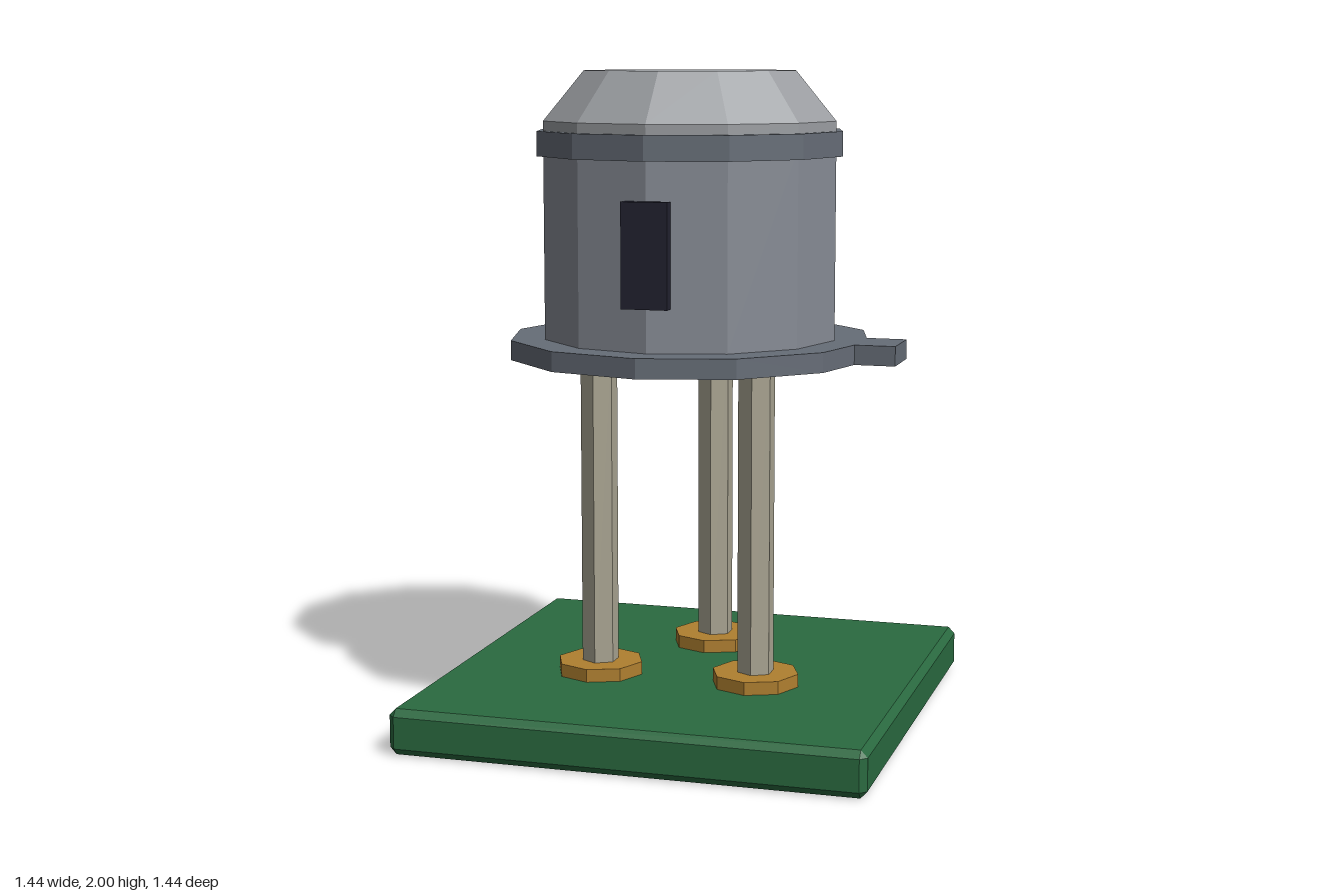
import * as THREE from 'three';
import { ConvexGeometry } from 'three/addons/geometries/ConvexGeometry.js';

const mat = (color) => new THREE.MeshStandardMaterial({ color, flatShading: true });
const MATS = {
  board: mat(0x2a6a40), pad: mat(0xb08030), pin: mat(0xaaa592),
  flange: mat(0x666d77), body: mat(0x878c95), dome: mat(0x9b9ea2), window: mat(0x222230),
};

// Box with every edge and corner chamfered
function chamferBox(w, h, d, c) {
  const points = [];
  for (const sx of [-1, 1]) for (const sy of [-1, 1]) for (const sz of [-1, 1]) {
    const x = w / 2, y = h / 2, z = d / 2;
    points.push(
      new THREE.Vector3(sx * x, sy * (y - c), sz * (z - c)),
      new THREE.Vector3(sx * (x - c), sy * y, sz * (z - c)),
      new THREE.Vector3(sx * (x - c), sy * (y - c), sz * z));
  }
  return new ConvexGeometry(points);
}

export function createModel() {
  const model = new THREE.Group();
  model.name = 'metalCanComponent';

  const add = (name, geometry, material, x = 0, y = 0, z = 0) => {
    const mesh = new THREE.Mesh(geometry, material);
    mesh.name = name;
    mesh.position.set(x, y, z);
    model.add(mesh);
    return mesh;
  };
  // Upright faceted cylinder between two heights
  const drum = (name, rTop, rBottom, y0, y1, sides, material, x = 0, z = 0) =>
    add(name, new THREE.CylinderGeometry(rTop, rBottom, y1 - y0, sides), material, x, (y0 + y1) / 2, z);

  // Circuit board
  add('board', chamferBox(1.44, 0.13, 1.44, 0.02), MATS.board, 0, 0.07, 0).scale.y = 0.14 / 0.13;

  // Three pins with solder pads
  const pins = [['left', 0.25, 0.145], ['right', -0.25, 0.145], ['back', 0, -0.285]];
  for (const [side, x, z] of pins) {
    drum(side + 'Pad', 0.135, 0.135, 0.135, 0.18, 8, MATS.pad, x, z);
    drum(side + 'Pin', 0.057, 0.057, 0.14, 1.14, 6, MATS.pin, x, z);
  }

  // Twelve-sided flange with a locating tab on the left
  const outline = [[0.536, -0.088], [0.66, -0.088], [0.66, 0.088], [0.536, 0.088]];
  for (let i = 1; i < 12; i++) {
    const a = (i / 12) * Math.PI * 2;
    outline.push([0.56 * Math.cos(a), 0.56 * Math.sin(a)]);
  }
  const shape = new THREE.Shape(outline.map(([x, y]) => new THREE.Vector2(x, y)));
  const flange = new THREE.ExtrudeGeometry(shape, { depth: 0.06, bevelEnabled: false });
  flange.rotateX(-Math.PI / 2);
  add('flange', flange, MATS.flange, 0, 1.13, 0);

  // Can, rim band and tapered cap
  drum('canBody', 0.455, 0.455, 1.19, 1.78, 12, MATS.body);
  drum('rimBand', 0.475, 0.475, 1.745, 1.82, 12, MATS.flange);
  drum('capCollar', 0.455, 0.455, 1.82, 1.85, 12, MATS.dome);
  drum('cap', 0.33, 0.455, 1.85, 2, 12, MATS.dome);

  // Dark window on the front
  add('window', new THREE.BoxGeometry(0.14, 0.31, 0.035), MATS.window, 0, 1.475, 0.457);

  return model;
}
